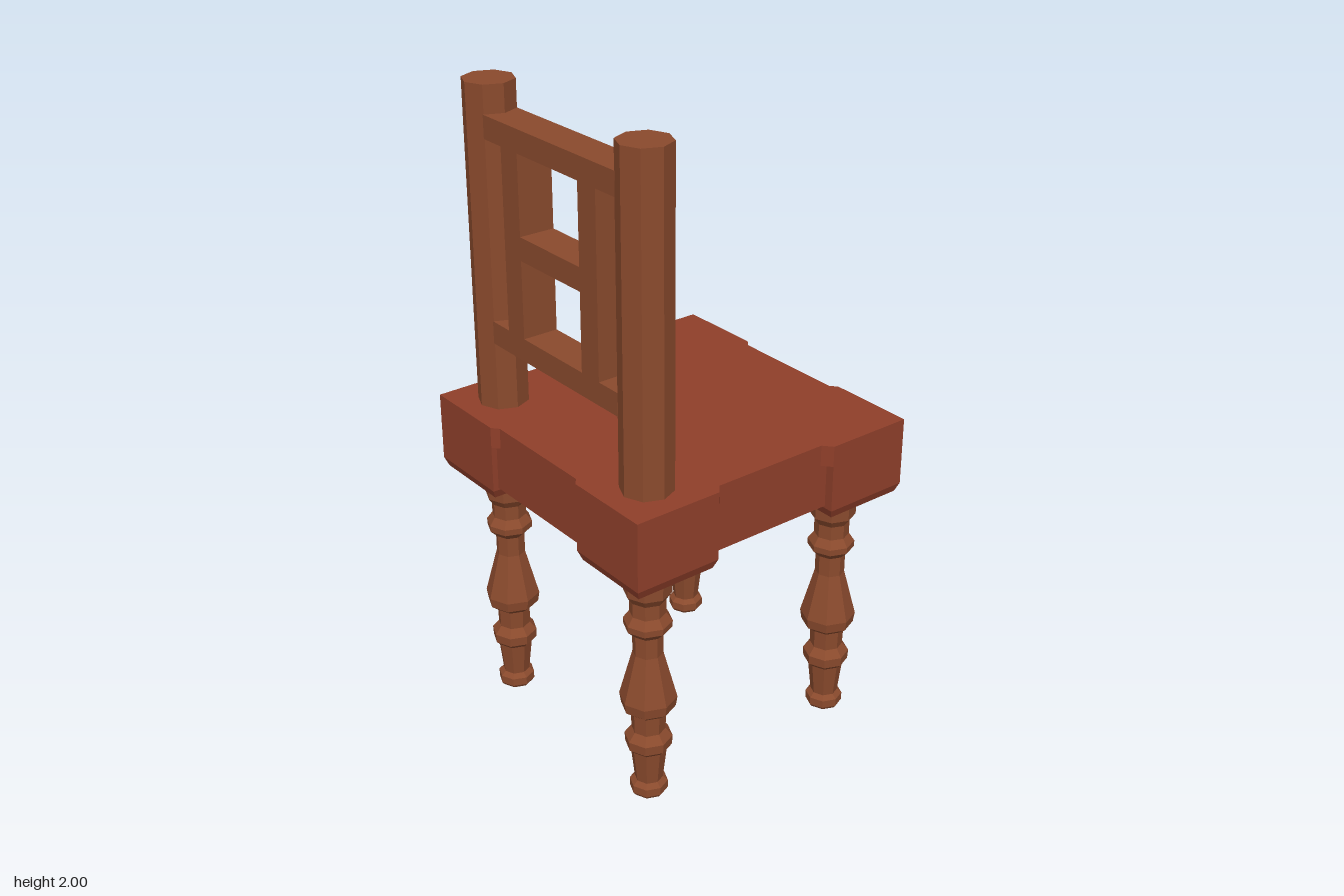
import * as THREE from 'three';

const material = (color) => new THREE.MeshStandardMaterial({ color, flatShading: true });

export function createModel() {
  const chair = new THREE.Group();
  chair.name = 'chair';
  const seatWood = material(0x8f3f2a);
  const frameWood = material(0x8a4a2d);

  const add = (parent, name, geometry, mat, x, y, z) => {
    const mesh = new THREE.Mesh(geometry, mat);
    mesh.name = name;
    mesh.position.set(x, y, z);
    parent.add(mesh);
    return mesh;
  };
  // Box given by its lower and upper corners
  const addBox = (parent, name, mat, [x0, y0, z0], [x1, y1, z1]) =>
    add(parent, name, new THREE.BoxGeometry(x1 - x0, y1 - y0, z1 - z0), mat,
      (x0 + x1) / 2, (y0 + y1) / 2, (z0 + z1) / 2);

  // Seat slab: square with a shallow recess along each side
  const seat = new THREE.Group();
  seat.name = 'seat';
  chair.add(seat);
  const edge = 0.49, recessX = 0.472, recessZ = 0.462;
  const quarter = [[recessX, 0.19], [edge, 0.212], [edge, edge], [0.212, edge], [0.188, recessZ]];
  const mirrored = (sx, sy) => quarter.map(([x, y]) => new THREE.Vector2(x * sx, y * sy));
  const outline = [
    ...mirrored(1, 1), ...mirrored(-1, 1).reverse(),
    ...mirrored(-1, -1), ...mirrored(1, -1).reverse(),
  ];
  const slab = new THREE.ExtrudeGeometry(new THREE.Shape(outline), { depth: 0.065, bevelEnabled: false });
  slab.rotateX(-Math.PI / 2);
  add(seat, 'seatTop', slab, seatWood, 0, 0.955, 0);

  // Corner blocks with a tapered lower edge
  const blockProfile = [[0, 0.78], [0.128, 0.78], [0.139, 0.808], [0.139, 0.955], [0, 0.955]];
  const block = new THREE.LatheGeometry(
    blockProfile.map(([r, y]) => new THREE.Vector2(r * Math.SQRT2, y)), 4, Math.PI / 4);
  // Aprons between the blocks
  for (const s of [-1, 1]) {
    for (const t of [-1, 1]) add(seat, 'cornerBlock', block, seatWood, s * 0.351, 0, t * 0.351);
    add(seat, 'sideApron', new THREE.BoxGeometry(0.06, 0.14, 0.43), seatWood, s * (recessX - 0.03), 0.885, 0);
    add(seat, 'endApron', new THREE.BoxGeometry(0.43, 0.14, 0.06), seatWood, 0, 0.885, s * (recessZ - 0.03));
  }

  // Turned eight-sided legs
  const legProfile = [
    [0, 0], [0.05, 0], [0.057, 0.01], [0.057, 0.035], [0.042, 0.048], [0.054, 0.155],
    [0.069, 0.17], [0.071, 0.2], [0.05, 0.225], [0.052, 0.285], [0.08, 0.308], [0.085, 0.34],
    [0.045, 0.49], [0.045, 0.555], [0.07, 0.58], [0.071, 0.6], [0.053, 0.625], [0.053, 0.67],
    [0.07, 0.695], [0.073, 0.79],
  ].map(([r, y]) => new THREE.Vector2(r, y));
  const leg = new THREE.LatheGeometry(legProfile, 8);
  for (const x of [-0.352, 0.352])
    for (const z of [-0.352, 0.352]) add(chair, 'leg', leg, frameWood, x, 0, z);

  // Backrest: two eight-sided posts joined by a lattice
  const back = new THREE.Group();
  back.name = 'backrest';
  chair.add(back);
  const x0 = -0.408, x1 = -0.297;
  const post = new THREE.CylinderGeometry(0.077, 0.077, 0.98, 8);
  for (const s of [-1, 1]) {
    add(back, 'backPost', post, frameWood, -0.352, 1.51, s * 0.352);
    const z = s * 0.178;
    addBox(back, 'backSlat', frameWood, [x0, 1.304, z - 0.039], [x1, 1.848, z + 0.039]);
  }
  addBox(back, 'lowerRail', frameWood, [x0, 1.234, -0.3], [x1, 1.304, 0.3]);
  addBox(back, 'middleRail', frameWood, [x0, 1.54, -0.14], [x1, 1.61, 0.14]);
  addBox(back, 'topRail', frameWood, [x0, 1.848, -0.3], [x1, 1.917, 0.3]);

  return chair;
}
